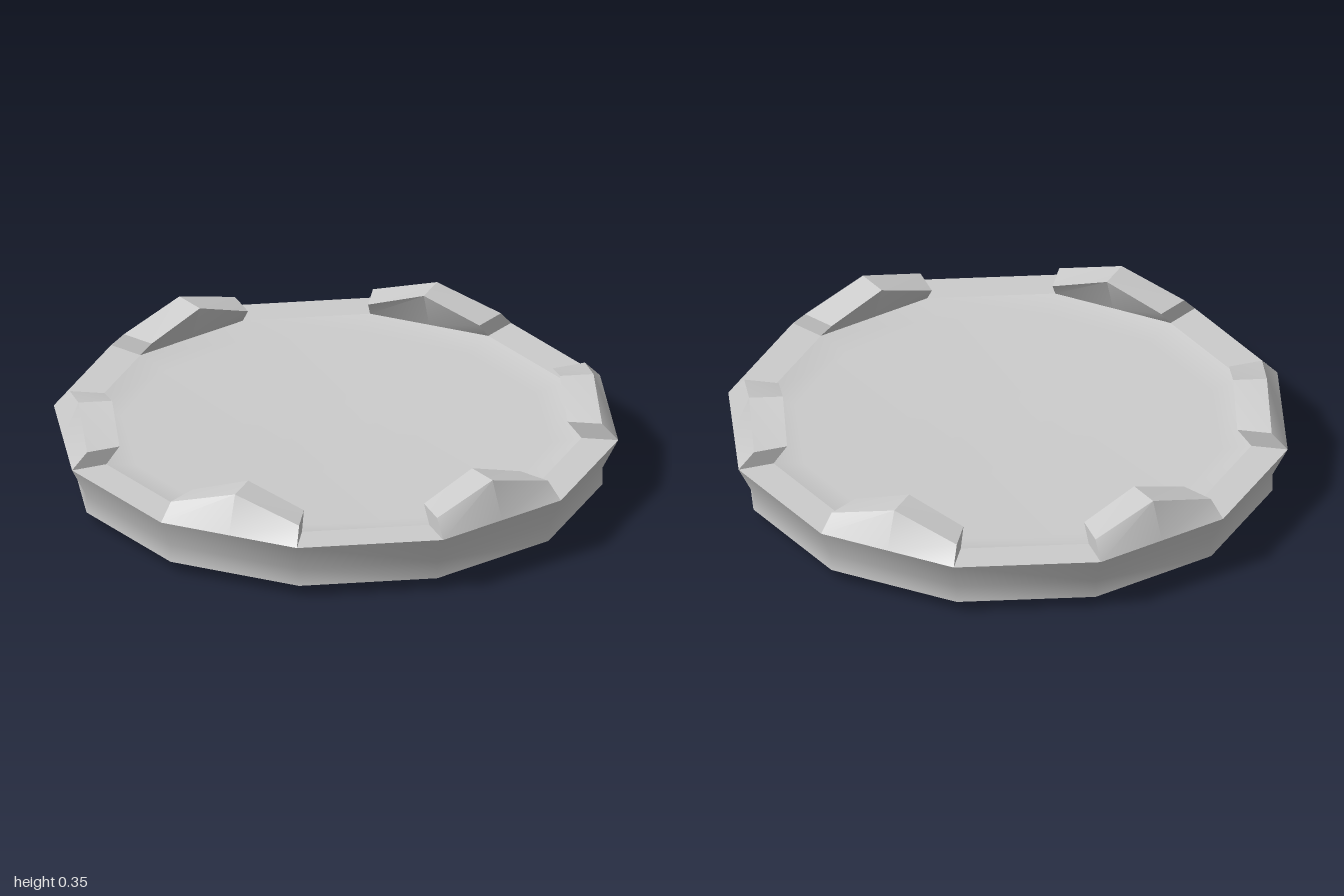
import * as THREE from 'three';
import { toCreasedNormals } from 'three/addons/utils/BufferGeometryUtils.js';

const SIDES = 12;
const RIM_Y = 0.22;
const material = new THREE.MeshStandardMaterial({ color: 0xcccccc });
const openMaterial = new THREE.MeshStandardMaterial({ color: 0xcccccc, side: THREE.DoubleSide });

// Twelve-sided ring swept from [radius, height] points
function ring(name, profile) {
  const points = profile.map(([r, y]) => new THREE.Vector2(r, y));
  const mesh = new THREE.Mesh(new THREE.LatheGeometry(points, SIDES), openMaterial);
  mesh.name = name;
  return mesh;
}

// Peaked, inward-leaning block standing on one side of the rim
function toothGeometry() {
  const step = (Math.PI * 2) / SIDES;
  const at = (r, a, y) => new THREE.Vector3(r * Math.sin(a), y, r * Math.cos(a));
  const section = (a, chord, top) => [
    at(1 * chord, a, RIM_Y), at(0.943 * chord, a, top),
    at(0.82 * chord, a, top), at(0.87 * chord, a, RIM_Y),
  ];
  const sections = [
    section(0, 1, 0.28),
    section(step / 2, Math.cos(step / 2), 0.355),
    section(step, 1, 0.28),
  ];
  const positions = [];
  const quad = (a, b, c, d) => [a, b, c, a, c, d].forEach((p) => positions.push(p.x, p.y, p.z));
  for (let s = 0; s < 2; s++) {
    const p = sections[s], q = sections[s + 1];
    for (let i = 0; i < 4; i++) {
      const j = (i + 1) % 4;
      quad(p[i], q[i], q[j], p[j]);
    }
  }
  // End faces
  quad(...sections[0]);
  quad(...[...sections[2]].reverse());
  const geometry = new THREE.BufferGeometry();
  geometry.setAttribute('position', new THREE.Float32BufferAttribute(positions, 3));
  return toCreasedNormals(geometry, 0.45);
}

export function createModel() {
  const model = new THREE.Group();
  model.name = 'dish';

  // Dish body, split where the edges are sharp
  model.add(
    ring('underside', [[0, 0], [0.84, 0]]),
    ring('lowerBevel', [[0.84, 0], [0.945, 0.045]]),
    ring('outerWall', [[0.945, 0.045], [0.945, 0.11], [1, RIM_Y]]),
    ring('rim', [[1, RIM_Y], [0.87, RIM_Y]]),
    ring('floor', [[0.87, RIM_Y], [0.76, 0.195], [0, 0.19]]),
  );

  // Teeth on every other side
  const tooth = toothGeometry();
  const teeth = new THREE.Group();
  teeth.name = 'rimTeeth';
  for (let i = 0; i < 6; i++) {
    const mesh = new THREE.Mesh(tooth, material);
    mesh.name = 'tooth';
    mesh.rotation.y = Math.PI / 6 + (i * Math.PI) / 3;
    teeth.add(mesh);
  }
  model.add(teeth);
  return model;
}
